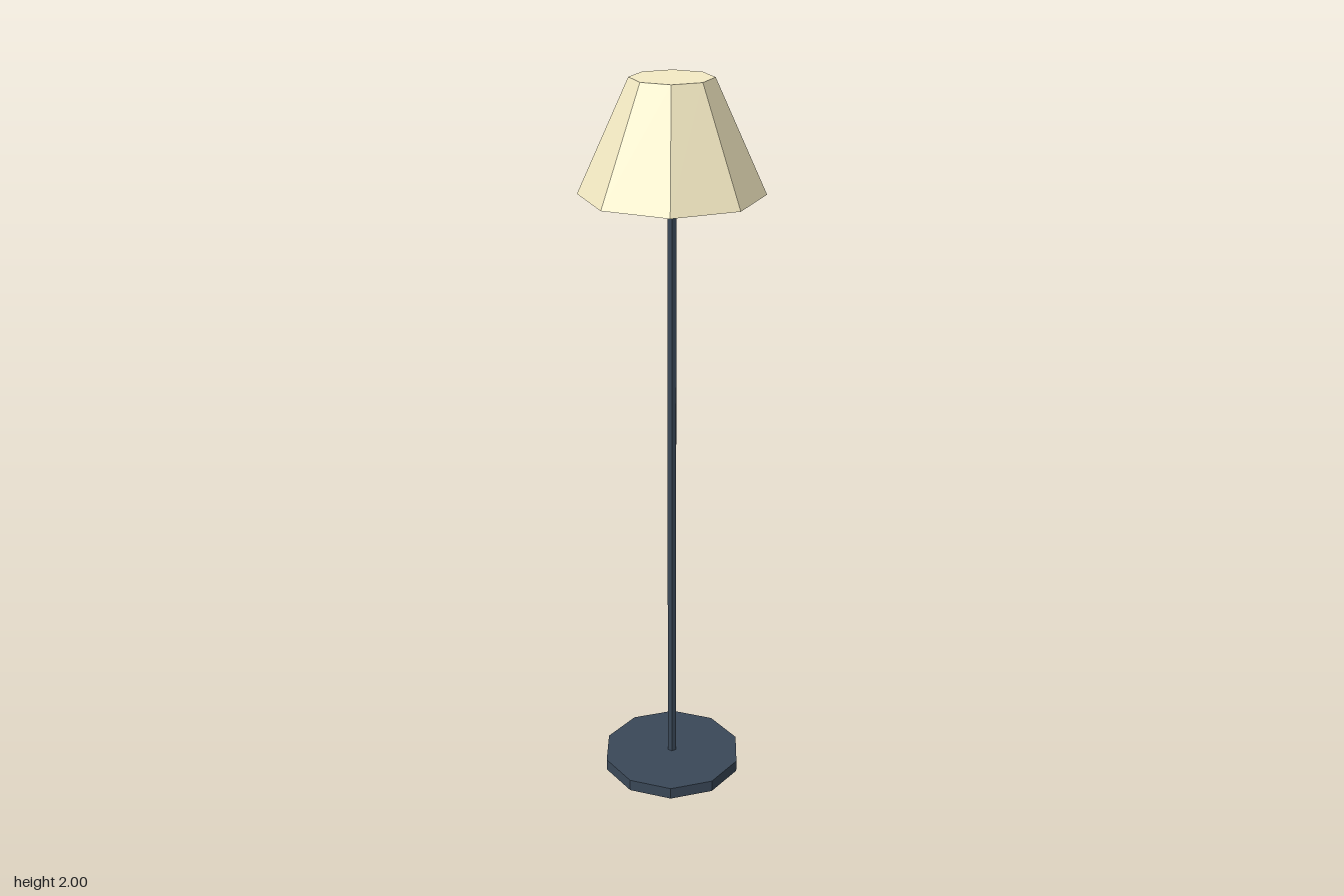
import * as THREE from 'three';

const metal = new THREE.MeshStandardMaterial({ color: 0x3a4858, flatShading: true });
const cream = new THREE.MeshStandardMaterial({ color: 0xf5ebc4, flatShading: true });

// Upright faceted cylinder or cone frustum between two heights
function addPart(group, name, rTop, rBottom, y0, y1, sides, material) {
  const geometry = new THREE.CylinderGeometry(rTop, rBottom, y1 - y0, sides);
  const mesh = new THREE.Mesh(geometry, material);
  mesh.name = name;
  mesh.position.y = (y0 + y1) / 2;
  group.add(mesh);
}

export function createModel() {
  const lamp = new THREE.Group();
  lamp.name = 'floorLamp';
  addPart(lamp, 'base', 0.2, 0.2, 0, 0.034, 10, metal);
  addPart(lamp, 'pole', 0.0135, 0.0135, 0.034, 1.75, 6, metal);
  // Closed eight-sided shade
  addPart(lamp, 'shade', 0.1075, 0.241, 1.707, 2, 8, cream);
  return lamp;
}
